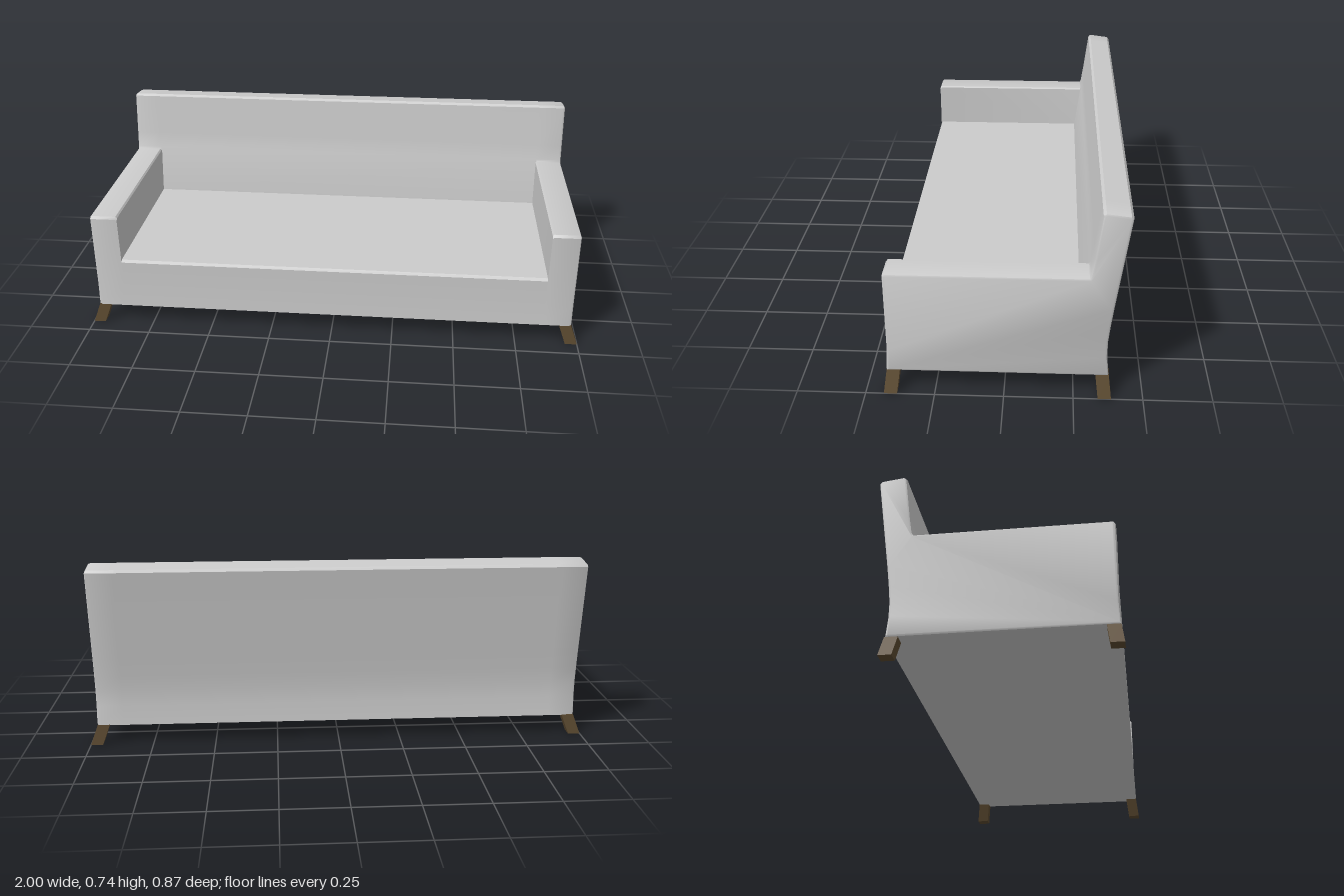
import * as THREE from 'three';
import { toCreasedNormals } from 'three/addons/utils/BufferGeometryUtils.js';

const ARM_TOP = 0.485, SEAT_TOP = 0.29;

// Side outline as (z, y) points; h is the height of the arm or seat
function sideProfile(h, inset) {
  const zBack = h > 0.4 ? -0.295 : -0.27;
  const pts = [
    [0.425, 0.08], [0.42, 0.17], [0.42, h - 0.01], [0.412, h],
    [zBack, h], [-0.3, 0.495], [-0.31, 0.56],
    [-0.332, 0.73], [-0.342, 0.738], [-0.425, 0.727], [-0.434, 0.717],
    [-0.384, 0.36], [-0.374, 0.28], [-0.368, 0.22], [-0.368, 0.16], [-0.375, 0.08],
  ].map(([z, y]) => new THREE.Vector2(z, y));
  // pull every point inwards for the rounded ends
  return pts.map((p, i) => {
    const a = pts.at(i - 1), b = pts[(i + 1) % pts.length];
    const d1 = p.clone().sub(a).normalize(), d2 = b.clone().sub(p).normalize();
    const n = new THREE.Vector2(-d1.y - d2.y, d1.x + d2.x);
    const k = inset / Math.max(0.3, 1 + d1.dot(d2));
    return p.clone().addScaledVector(n, k);
  });
}

// Upholstered body: one skin lofted across x through arm, seat and arm
function bodyGeometry() {
  const half = [ // x, height, inset
    [0.972, ARM_TOP, 0.009], [0.969, ARM_TOP, 0.003], [0.961, ARM_TOP, 0],
    [0.867, ARM_TOP, 0], [0.861, ARM_TOP - 0.006, 0], [0.86, SEAT_TOP, 0],
  ];
  const stations = [
    ...half.map(([x, h, i]) => [-x, h, i]),
    ...half.slice().reverse(),
  ];
  const loops = stations.map(([x, h, i]) =>
    sideProfile(h, i).map((p) => new THREE.Vector3(x, p.y, p.x)));
  const pos = [];
  const tri = (...vs) => vs.forEach((v) => pos.push(v.x, v.y, v.z));
  const n = loops[0].length;
  for (let s = 0; s < loops.length - 1; s++) {
    for (let j = 0; j < n; j++) {
      const k = (j + 1) % n, A = loops[s], B = loops[s + 1];
      tri(A[j], B[j], B[k]);
      tri(A[j], B[k], A[k]);
    }
  }
  // end caps
  const first = loops[0], last = loops.at(-1);
  const outline = first.map((v) => new THREE.Vector2(v.z, v.y));
  for (const [a, b, c] of THREE.ShapeUtils.triangulateShape(outline, [])) {
    tri(first[a], first[b], first[c]);
    tri(last[a], last[c], last[b]);
  }
  const geo = new THREE.BufferGeometry();
  geo.setAttribute('position', new THREE.Float32BufferAttribute(pos, 3));
  return toCreasedNormals(geo, 0.6);
}

// Square leg that splays outwards towards the floor
function legGeometry(sx, sz) {
  const geo = new THREE.BoxGeometry(0.048, 0.082, 0.048);
  const p = geo.attributes.position;
  const zTop = sz > 0 ? 0.4 : 0.352;
  for (let i = 0; i < p.count; i++) {
    const t = 0.5 - p.getY(i) / 0.082; // 0 at the top, 1 at the floor
    p.setXYZ(i,
      p.getX(i) + sx * (0.946 + 0.03 * t),
      p.getY(i) + 0.041,
      p.getZ(i) + sz * (zTop + 0.01 * t));
  }
  geo.computeVertexNormals();
  return geo;
}

export function createModel() {
  const model = new THREE.Group();
  model.name = 'sofa';

  const fabric = new THREE.MeshStandardMaterial({ color: 0xcccccc });
  const wood = new THREE.MeshStandardMaterial({ color: 0x5c4a30 });

  const body = new THREE.Mesh(bodyGeometry(), fabric);
  body.name = 'upholsteredBody';
  model.add(body);

  for (const sx of [1, -1]) {
    for (const sz of [1, -1]) {
      const leg = new THREE.Mesh(legGeometry(sx, sz), wood);
      leg.name = (sz > 0 ? 'front' : 'back') + (sx > 0 ? 'Left' : 'Right') + 'Leg';
      model.add(leg);
    }
  }
  return model;
}
